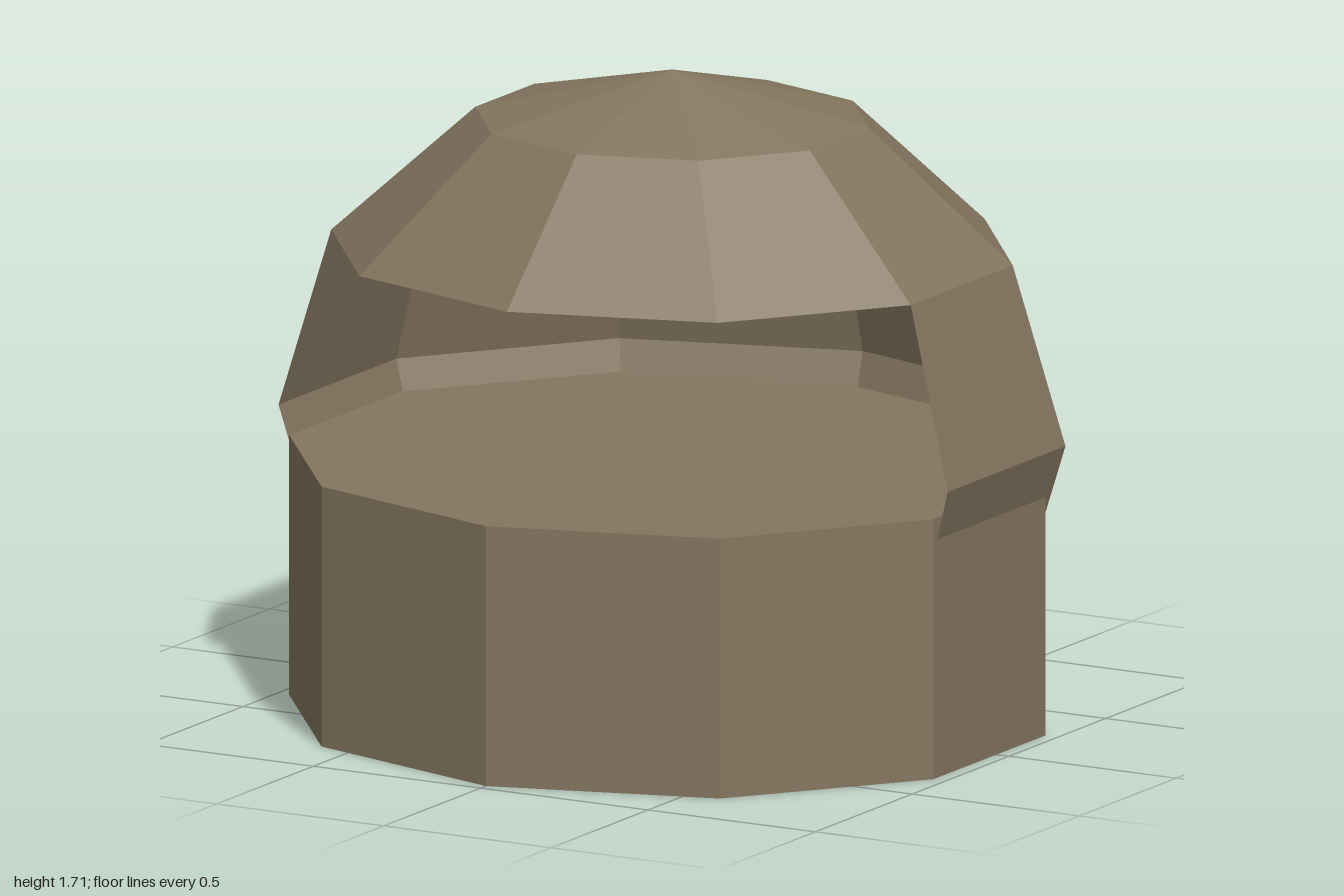
import * as THREE from 'three';

export function createModel() {
  const model = new THREE.Group();
  const material = new THREE.MeshStandardMaterial({
    color: 0x84765f, flatShading: true, side: THREE.DoubleSide,
  });
  const step = Math.PI / 5; // ten sides
  const ring = Math.PI / 6; // rings 30 degrees apart

  function add(name, geometry, scale, y, z) {
    geometry.scale(...scale);
    const mesh = new THREE.Mesh(geometry, material);
    mesh.name = name;
    mesh.position.set(0, y, z);
    model.add(mesh);
  }

  // Ten-sided drum with a flat floor on top
  add('base', new THREE.CylinderGeometry(1, 1, 0.69, 10), [1.012, 1, 0.937], 0.345, 0.036);

  // Dome: complete roof, with walls only around the back six sides
  const dome = [1.0515, 0.945, 0.984];
  add('domeRoof',
    new THREE.SphereGeometry(1, 10, 2, Math.PI / 2, Math.PI * 2, 0, 2 * ring), dome, 0.765, 0.012);
  add('domeWall',
    new THREE.SphereGeometry(1, 6, 2, Math.PI / 2 + 2 * step, 6 * step, 2 * ring, 2 * ring), dome, 0.765, 0.012);

  return model;
}
